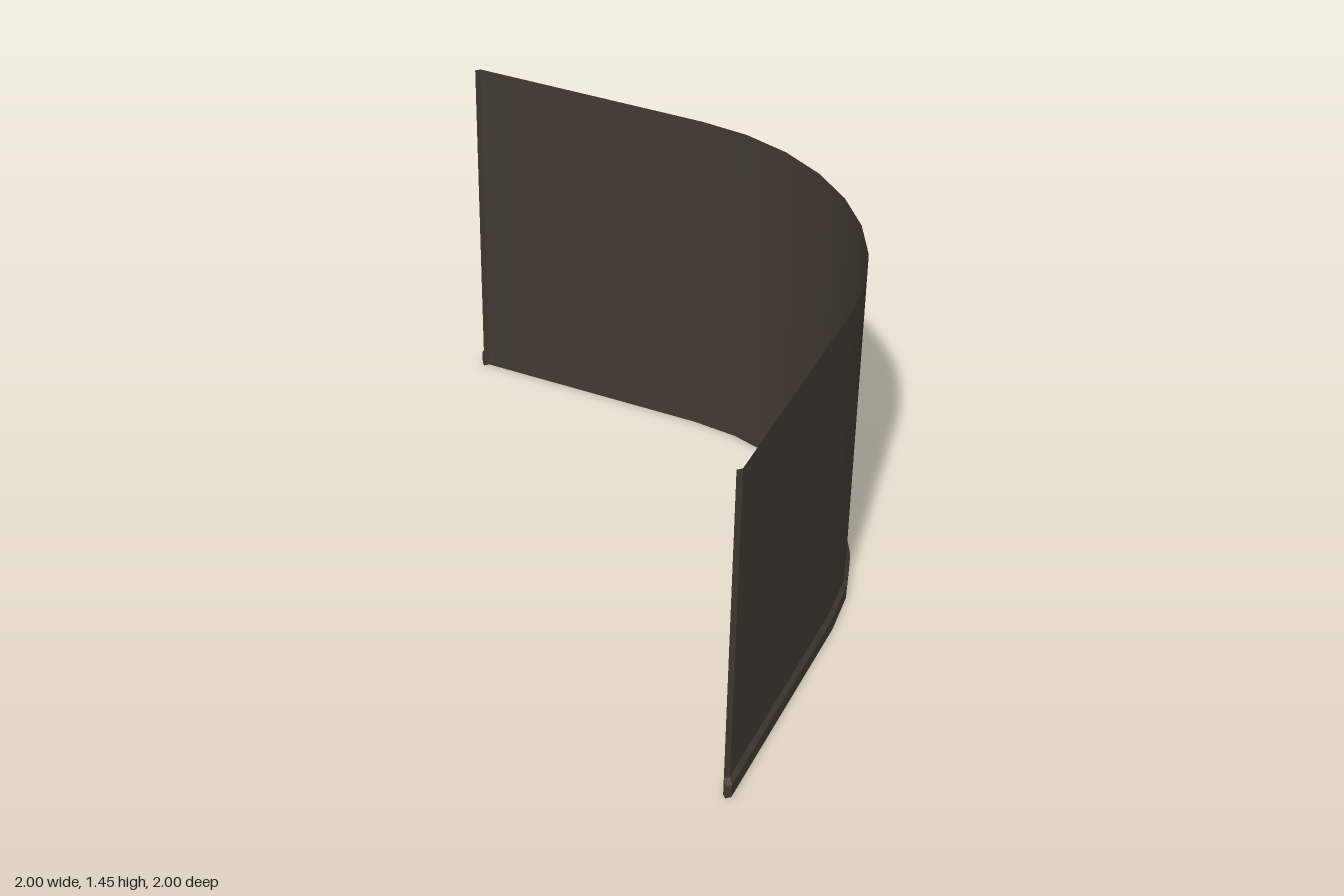
import * as THREE from 'three';
import { toCreasedNormals } from 'three/addons/utils/BufferGeometryUtils.js';

const RADIUS = 0.985;  // outer face of the wall, centred on the origin
const HEIGHT = 1.45;
const LIP = 0.016;     // bent-in edge at each free end
const ARC_STEPS = 8;

// Plan line [x, z]: straight back run, quarter circle, straight side run
function planLine(offset) {
  const r = RADIUS + offset;
  const points = [[-r, -(r - LIP)], [-(r - LIP), -r]];
  for (let i = 0; i <= ARC_STEPS; i++) {
    const a = (i / ARC_STEPS) * Math.PI / 2;
    points.push([r * Math.sin(a), -r * Math.cos(a)]);
  }
  points.push([r, r - LIP], [r - LIP, r]);
  return points;
}

// Sweep a profile of [offset, y] pairs along the plan line
function sweep(profile, capped) {
  const lines = profile.map(([offset]) => planLine(offset));
  const n = profile.length;
  const count = lines[0].length;
  const positions = [];
  const index = [];
  for (let i = 0; i < count; i++) {
    profile.forEach(([, y], j) => positions.push(lines[j][i][0], y, lines[j][i][1]));
  }
  for (let i = 0; i < count - 1; i++) {
    for (let j = 0; j < n - 1; j++) {
      const a = i * n + j;
      index.push(a, a + 1, a + n, a + 1, a + n + 1, a + n);
    }
  }
  if (capped) {
    const last = (count - 1) * n;
    for (let j = 1; j < n - 1; j++) {
      index.push(0, j + 1, j, last, last + j, last + j + 1);
    }
  }
  const geometry = new THREE.BufferGeometry();
  geometry.setAttribute('position', new THREE.Float32BufferAttribute(positions, 3));
  geometry.setIndex(index);
  return toCreasedNormals(geometry, 0.5);
}

export function createModel() {
  const group = new THREE.Group();
  group.name = 'curvedWall';

  const darkBrown = new THREE.MeshStandardMaterial({ color: 0x423930, side: THREE.DoubleSide });
  darkBrown.name = 'dark brown';

  // Thin wall sheet with a rounded corner
  const wall = new THREE.Mesh(sweep([[0, 0], [0, HEIGHT]], false), darkBrown);
  wall.name = 'wallPanel';

  // Skirting strip on the outside with a chamfered top
  const skirting = new THREE.Mesh(
    sweep([[0, 0], [0.015, 0], [0.015, 0.058], [0, 0.08]], true), darkBrown);
  skirting.name = 'skirting';

  group.add(wall, skirting);
  return group;
}
